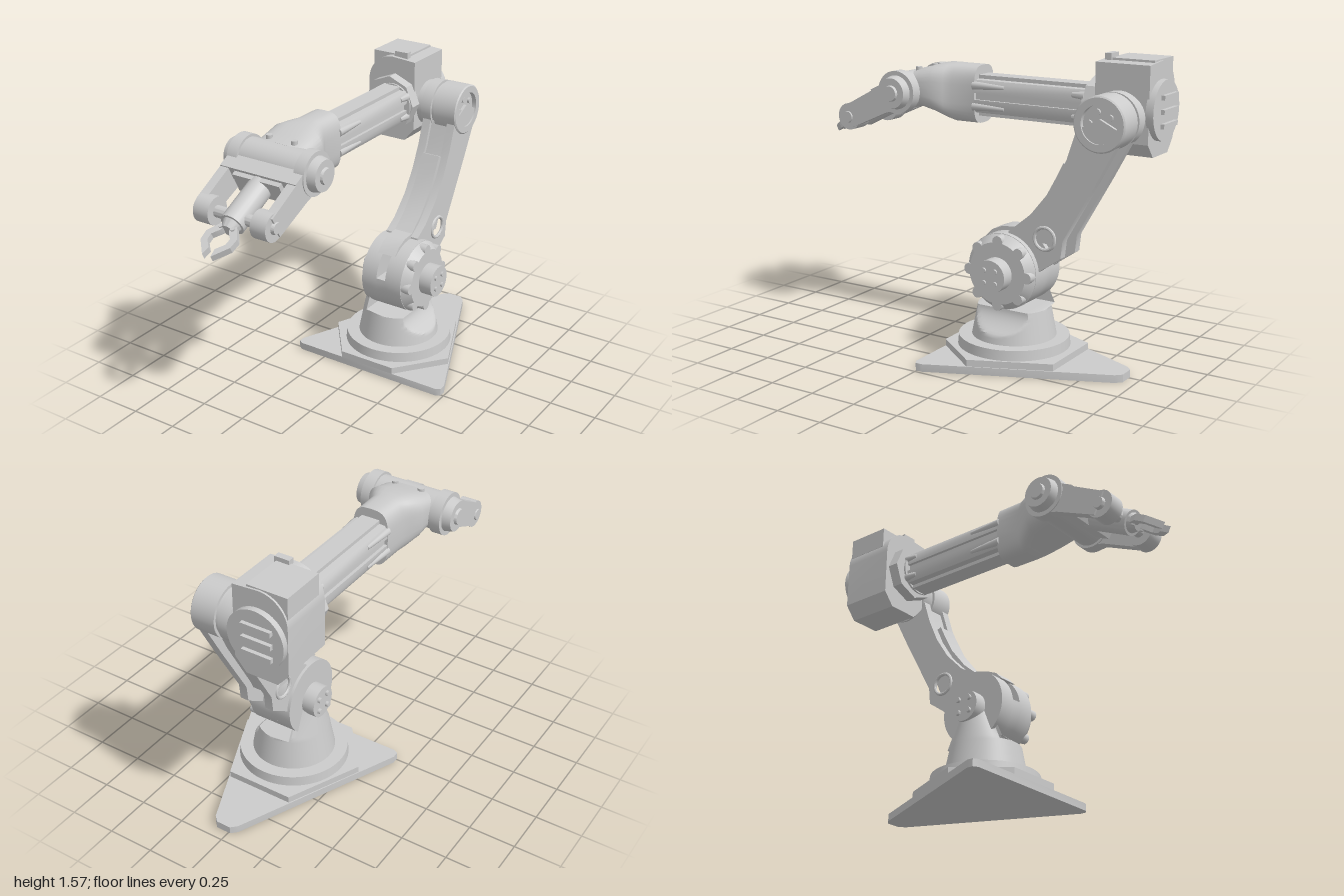
import * as THREE from 'three';
import { toCreasedNormals } from 'three/addons/utils/BufferGeometryUtils.js';

const material = new THREE.MeshStandardMaterial({ color: 0xcccccc });

function add(parent, name, geometry) {
  const mesh = new THREE.Mesh(toCreasedNormals(geometry, 0.6), material);
  mesh.name = name;
  parent.add(mesh);
  return mesh;
}

// Cylinder along x from x0 to x1 (radius r0 to r1)
function cylX(x0, x1, y, z, r0, r1 = r0, seg = 36) {
  const g = new THREE.CylinderGeometry(r1, r0, x1 - x0, seg);
  return g.rotateZ(-Math.PI / 2).translate((x0 + x1) / 2, y, z);
}
// Cylinder along z from z0 to z1
function cylZ(z0, z1, x, y, r0, r1 = r0, seg = 36) {
  const g = new THREE.CylinderGeometry(r1, r0, z1 - z0, seg);
  return g.rotateX(Math.PI / 2).translate(x, y, (z0 + z1) / 2);
}
function box(x0, x1, y0, y1, z0, z1) {
  return new THREE.BoxGeometry(x1 - x0, y1 - y0, z1 - z0)
    .translate((x0 + x1) / 2, (y0 + y1) / 2, (z0 + z1) / 2);
}
const shapeOf = (pts) => new THREE.Shape(pts.map(([a, b]) => new THREE.Vector2(a, b)));
const extrude = (shape, depth) =>
  new THREE.ExtrudeGeometry(shape, { depth, bevelEnabled: false, curveSegments: 20 });

// Side profile given as [z, y], extruded from x0 to x1
function side(pts, x0, x1, hole) {
  const s = shapeOf(pts.map(([z, y]) => [-z, y]));
  if (hole) s.holes.push(new THREE.Path().absarc(-hole[0], hole[1], hole[2], 0, Math.PI * 2, true));
  return extrude(s, x1 - x0).rotateY(Math.PI / 2).translate(x0, 0, 0);
}
// Plan outline given as [x, z], extruded from y0 to y1
function plan(pts, y0, y1) {
  return extrude(shapeOf(pts.map(([x, z]) => [x, -z])), y1 - y0).rotateX(-Math.PI / 2).translate(0, y0, 0);
}
function arc(cx, cy, r, a0, a1, n) {
  return Array.from({ length: n + 1 }, (_, i) => {
    const a = a0 + ((a1 - a0) * i) / n;
    return [cx + r * Math.cos(a), cy + r * Math.sin(a)];
  });
}
// Ring of bolts along x
function boltsX(parent, name, count, ring, r, x0, x1, y, z, phase = 0) {
  for (let i = 0; i < count; i++) {
    const a = phase + (i * Math.PI * 2) / count;
    add(parent, name, cylX(x0, x1, y + ring * Math.cos(a), z + ring * Math.sin(a), r, r, 12));
  }
}

function buildBase(g) {
  add(g, 'basePlate', plan([
    [-0.4, 0.02], [0.46, 0.02], [0.485, 0.005], [0.485, -0.03], [0.1, -0.91], [0.07, -0.94],
    [-0.01, -0.94], [-0.04, -0.91], [-0.425, -0.03], [-0.425, 0.005]], 0, 0.04));
  add(g, 'raisedPlate', plan([
    [-0.13, 0.02], [0.19, 0.02], [0.39, -0.235], [0.215, -0.63], [-0.155, -0.63], [-0.33, -0.235]], 0.04, 0.075));
  add(g, 'turntable', new THREE.CylinderGeometry(0.285, 0.29, 0.055, 64).translate(0.033, 0.1, -0.3));

  // Tapered pedestal, cut back on one side so only a tower rises beside the shoulder
  const ped = new THREE.CylinderGeometry(0.15, 0.218, 0.36, 64, 36).translate(0, 0.305, 0);
  const p = ped.attributes.position;
  for (let i = 0; i < p.count; i++) {
    const y = p.getY(i);
    let limit = 1;
    if (y > 0.287) limit = -0.06;
    else if (y > 0.165) limit = 0.15 + 0.1 * ((0.287 - y) / 0.122) ** 2;
    p.setX(i, Math.min(p.getX(i) + 0.033, limit));
    p.setZ(i, p.getZ(i) * (y > 0.287 ? 1 - (y - 0.287) * 1.7 : 1) - 0.3);
  }
  add(g, 'pedestal', ped);
}

function buildShoulder(g) {
  const y = 0.485, z = -0.3, r = 0.197;
  add(g, 'shoulderDrumRight', cylX(-0.08, 0.01, y, z, r, r, 56));
  add(g, 'shoulderDrumLeft', cylX(0.065, 0.16, y, z, r, r, 56));
  // Middle of the drum is split by an open slot
  const a = Math.asin(0.025 / r), b = Math.asin(0.155 / r);
  add(g, 'drumCoreLower', side(arc(z, y, r, Math.PI - a, Math.PI * 2 + a, 30), 0.01, 0.065));
  add(g, 'drumCoreUpper', side(arc(z, y, r, b, Math.PI - b, 10), 0.01, 0.065));
  add(g, 'shoulderFlange', cylX(0.16, 0.208, y, z, 0.195, 0.16, 48));
  boltsX(g, 'flangeBolt', 8, 0.165, 0.029, 0.15, 0.208, y, z);
  add(g, 'shoulderCap', cylX(0.2, 0.28, y, z, 0.085));
  boltsX(g, 'capBolt', 4, 0.045, 0.013, 0.27, 0.29, y, z, Math.PI / 4);
  add(g, 'shoulderHub', cylX(-0.15, -0.07, 0.475, z, 0.085));
  boltsX(g, 'hubBolt', 4, 0.05, 0.015, -0.165, -0.14, 0.475, z, Math.PI / 4);
}

function buildLowerArm(g) {
  const y = 1.275, z = -0.81;
  const front = [[-0.32, 0.69], [-0.4, 0.74], [-0.5, 0.84], [-0.58, 0.96], [-0.64, 1.09], [-0.69, 1.24]];
  const plate = [...front, [-0.81, 1.3], [-0.935, 1.24], [-0.8, 0.99], [-0.625, 0.68],
    [-0.615, 0.59], [-0.5, 0.51], [-0.42, 0.4], [-0.3, 0.5]];
  const web = [[-0.35, 0.65], [-0.41, 0.72], [-0.52, 0.83], [-0.6, 0.96], [-0.66, 1.09], [-0.71, 1.24],
    [-0.87, 1.24], [-0.76, 1.0], [-0.59, 0.69], [-0.57, 0.645]];
  for (const x of [-0.065, 0.085]) {
    add(g, 'lowerArmPlate', side(plate, x, x + 0.047, [-0.525, 0.68, 0.048]));
    const ring = new THREE.TorusGeometry(0.057, 0.009, 8, 32).rotateY(Math.PI / 2);
    add(g, 'pivotRing', ring.translate(x < 0 ? x : x + 0.047, 0.68, -0.525));
  }
  add(g, 'lowerArmWeb', side(web, -0.03, 0.1));
  add(g, 'frontRib', side([[-0.16, 0.635], [-0.2, 0.675], [-0.26, 0.7], [-0.33, 0.705], [-0.42, 0.78],
    [-0.51, 0.89], [-0.57, 1.0], [-0.6, 1.06], [-0.65, 1.04], [-0.58, 0.89], [-0.47, 0.76], [-0.34, 0.64]], -0.015, 0.09));
  // Elbow joint with recessed bolted face
  add(g, 'elbowDisc', cylX(-0.075, -0.015, y, z, 0.136, 0.136, 48));
  add(g, 'elbowCore', cylX(-0.13, 0.115, y, z, 0.122, 0.122, 48));
  const rim = [[0.095, 0.14], [0.13, 0.14], [0.137, 0.134], [0.137, 0.005], [0.095, 0.005]]
    .map(([r, h]) => new THREE.Vector2(r, h));
  rim.push(rim[0].clone());
  add(g, 'elbowRim', new THREE.LatheGeometry(rim.reverse(), 48).rotateZ(-Math.PI / 2).translate(0, y, z));
  boltsX(g, 'elbowBolt', 5, 0.06, 0.016, 0.11, 0.127, y, z, 0.3);
}

function buildForearm(g) {
  const cx = -0.21, cy = 1.305;
  // Motor housing, rounded on the outer shoulder
  const housing = [[-0.11, 1.15], [-0.11, 1.535], [-0.25, 1.545], ...arc(-0.25, 1.395, 0.15, Math.PI / 2, Math.PI, 12).slice(1),
    [-0.4, 1.15], [-0.34, 1.08], [-0.17, 1.08]];
  add(g, 'motorHousing', extrude(shapeOf(housing), 0.29).translate(0, 0, -0.95));
  add(g, 'housingLug', box(-0.25, -0.17, 1.48, 1.573, -0.715, -0.68));
  add(g, 'housingPad', box(-0.395, -0.18, 1.44, 1.551, -0.94, -0.7));
  add(g, 'housingBackCap', cylZ(-0.98, -0.94, -0.245, cy, 0.152, 0.152, 48));
  for (const y of [1.235, 1.305, 1.375])
    add(g, 'backCapBar', box(-0.34, -0.18, y - 0.012, y + 0.012, -1, -0.97));
  add(g, 'housingNeck', cylZ(-0.67, -0.6, -0.232, cy, 0.15, 0.15, 8).rotateZ(0));
  add(g, 'housingCollar', cylZ(-0.61, -0.59, cx, cy, 0.115));

  // Grooved beam section, one quarter mirrored round
  const q = [[0.05, 0.107], [0.05, 0.088], [0.082, 0.085], [0.096, 0.06], [0.096, 0.018], [0.08, 0.018]];
  const half = [...q, ...q.map(([x, y]) => [x, -y]).reverse()];
  const section = [...half, ...half.map(([x, y]) => [-x, y]).reverse()];
  add(g, 'forearmBeam', extrude(shapeOf(section), 0.68).translate(cx, cy, -0.62));
  for (const sx of [-1, 1]) for (const sy of [-1, 1]) {
    const x = cx + sx * 0.088, y = cy + sy * 0.055;
    add(g, 'beamRailFront', cylZ(-0.14, 0.05, x, y, 0.012, 0.022, 12));
    add(g, 'beamRailRear', cylZ(-0.6, -0.53, x, y, 0.022, 0.014, 12));
  }

  // Flared wrist body: [z, half width, top, bottom]
  const rows = [[0.04, 0.099, 1.46, 1.155], [0.18, 0.102, 1.46, 1.155], [0.22, 0.125, 1.46, 1.17],
    [0.28, 0.157, 1.455, 1.2], [0.36, 0.157, 1.43, 1.22], [0.43, 0.157, 1.41, 1.25]];
  const wrist = new THREE.CylinderGeometry(1, 1, 1, 40, 5).rotateX(Math.PI / 2);
  const p = wrist.attributes.position;
  const square = (v) => Math.sign(v) * Math.abs(v) ** 0.6;
  for (let i = 0; i < p.count; i++) {
    const [z, w, top, bottom] = rows[Math.round((p.getZ(i) + 0.5) * 5)];
    p.setXYZ(i, cx + square(p.getX(i)) * w, (top + bottom) / 2 + square(p.getY(i)) * (top - bottom) / 2, z);
  }
  add(g, 'wristBody', wrist);
  for (const x of [-0.075, 0.075])
    add(g, 'wristBolt', new THREE.CylinderGeometry(0.017, 0.017, 0.04, 12).translate(cx + x, 1.412, 0.4));
}

// Fork and gripper, pitched downward about the wrist axle
function buildHand(g) {
  const hand = new THREE.Group();
  hand.name = 'hand';
  hand.position.set(-0.205, 1.31, 0.44);
  hand.rotation.x = 0.46;
  g.add(hand);
  add(hand, 'wristAxle', cylX(-0.23, 0.23, 0, 0, 0.1));
  add(hand, 'forkBridge', box(-0.225, 0.225, -0.01, 0.075, 0.05, 0.15));
  add(hand, 'forkBridgeFace', box(-0.14, 0.14, -0.055, 0.06, 0.04, 0.175));
  add(hand, 'gripperBarrel', cylZ(0.14, 0.41, 0, 0, 0.064));
  add(hand, 'gripperNeck', cylZ(0.4, 0.45, 0, 0, 0.055, 0.035));
  add(hand, 'gripperAxle', cylX(-0.2, 0.2, 0, 0.36, 0.03));
  for (const s of [-1, 1]) {
    const cyl = (name, a, b, z, r0, r1 = r0) =>
      add(hand, name, s > 0 ? cylX(a, b, 0, z, r0, r1) : cylX(-b, -a, 0, z, r1, r0));
    cyl('wristDisc', 0.17, 0.23, 0, 0.113);
    cyl('wristEndCap', 0.23, 0.275, 0, 0.09, 0.08);
    cyl('wristKnob', 0.27, 0.288, 0, 0.045, 0.038);
    const arm = [[0, -0.09], [0.12, -0.072], [0.36, -0.062], [0.36, 0.062], [0.1, 0.07], [0, 0.09]];
    add(hand, 'forkArm', side(arm, s > 0 ? 0.175 : -0.225, s > 0 ? 0.225 : -0.175));
    cyl('forkHub', 0.125, 0.215, 0.36, 0.072);
    cyl('forkHubPin', 0.21, 0.232, 0.36, 0.035, 0.028);
    // Hooked claw
    const claw = [[0.012, 0.43], [0.045, 0.425], [0.092, 0.49], [0.088, 0.545], [0.025, 0.62],
      [0.018, 0.575], [0.054, 0.535], [0.056, 0.5], [0.025, 0.465]];
    add(hand, 'claw', plan(claw.map(([x, z]) => [s * x, z]), -0.017, 0.017));
    add(hand, 'clawPin', new THREE.CylinderGeometry(0.012, 0.012, 0.05, 12).translate(s * 0.035, 0, 0.445));
  }
}

export function createModel() {
  const model = new THREE.Group();
  model.name = 'robotArm';
  const parts = { base: buildBase, shoulder: buildShoulder, lowerArm: buildLowerArm, forearm: buildForearm, wrist: buildHand };
  for (const [name, build] of Object.entries(parts)) {
    const group = new THREE.Group();
    group.name = name;
    build(group);
    model.add(group);
  }
  return model;
}
